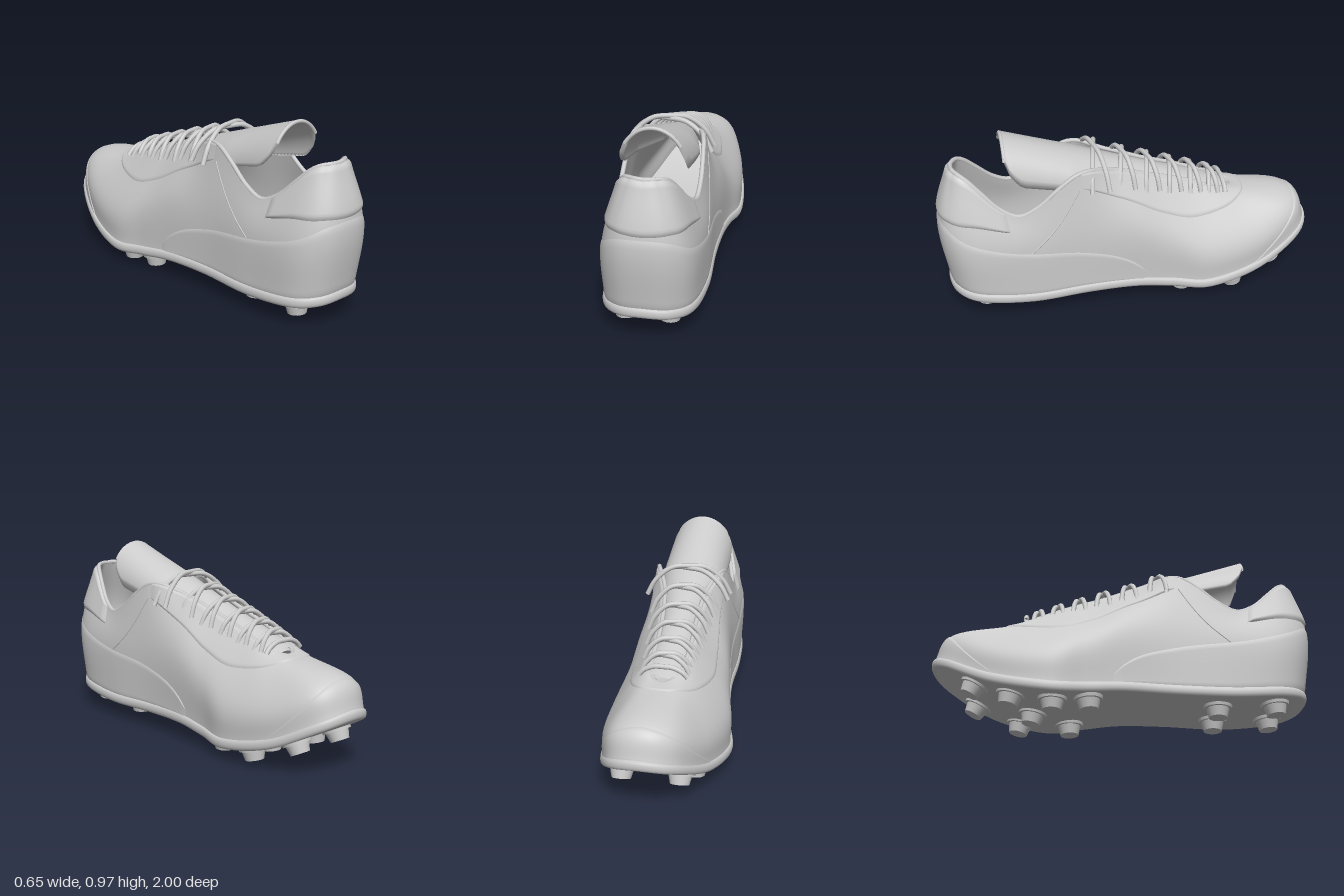
import * as THREE from 'three';

const V = (x, y, z) => new THREE.Vector3(x, y, z);
const mat = new THREE.MeshStandardMaterial({ color: 0xcccccc, side: THREE.DoubleSide });

// Straight ramp from a at z0 to b at z1, held beyond both ends
const ramp = (z, z0, z1, a, b) => a + (b - a) * THREE.MathUtils.clamp((z - z0) / (z1 - z0), 0, 1);

// Surface grid from f(s, t), s and t in 0..1; closed joins the two s ends
function grid(nu, nv, f, { closed = false, flip = false } = {}) {
  const pos = [], idx = [], cols = closed ? nu : nu + 1;
  for (let i = 0; i < cols; i++) for (let j = 0; j <= nv; j++) pos.push(...f(i / nu, j / nv).toArray());
  for (let i = 0; i < nu; i++) for (let j = 0; j < nv; j++) {
    const a = i * (nv + 1) + j, b = ((i + 1) % cols) * (nv + 1) + j;
    if (flip) idx.push(a, b + 1, b, a, a + 1, b + 1);
    else idx.push(a, b, b + 1, a, b + 1, a + 1);
  }
  const g = new THREE.BufferGeometry();
  g.setAttribute('position', new THREE.Float32BufferAttribute(pos, 3));
  g.setIndex(idx);
  g.computeVertexNormals();
  return g;
}

// Half outlines from heel to toe: sole edge, waist and opening (w is half width)
const TOE = 10, AROUND = 20;
const sole = {
  z: [.96, .93, .815, .55, .25, 0, -.2, -.4, -.68, -.92, -.985],
  w: [0, .13, .215, .24, .235, .25, .275, .312, .265, .16, 0],
  y: [.17, .16, .145, .125, .13, .13, .11, .1, .16, .28, .32],
};
const waist = {
  z: sole.z.map(z => z + ramp(z, .5, .95, .015, .04) + ramp(z, -.65, -.985, 0, .07)),
  w: sole.w.map((w, i) => w * ramp(sole.z[i], -.4, .1, .93, 1)),
  y: [.52, .51, .46, .42, .45, .46, .38, .31, .34, .44, .475],
};
const opening = {
  z: [.92, .905, .84, .6, .3, .1, -.1, -.28, -.43, -.53, -.56],
  w: [0, .06, .12, .2, .19, .125, .1, .095, .09, .05, 0],
  y: [.82, .82, .79, .6, .79, .76, .69, .63, .575, .54, .53],
};
const centreX = z => z < -.3 ? ramp(z, -1, -.3, .025, -.012) : ramp(z, -.3, .4, -.012, .02);
const rings = [sole, waist, opening].map(r => {
  const pts = Array.from({ length: AROUND }, (_, i) => {
    const k = i <= TOE ? i : AROUND - i, side = i <= TOE ? 1 : -1;
    return V(centreX(r.z[k]) + side * r.w[k], r.y[k], r.z[k]);
  });
  return new THREE.CatmullRomCurve3(pts, true, 'catmullrom', .5);
});

// Point on the upper: u is the station around, v runs 0 (sole) to 2 (opening)
function base(u, v) {
  const t = ((u + AROUND) % AROUND) / AROUND;
  return new THREE.CatmullRomCurve3(rings.map(c => c.getPoint(t)), false, 'catmullrom', .5).getPoint(v / 2);
}
function normal(u, v) {
  const e = .03;
  const du = base(u + e, v).sub(base(u - e, v));
  const dv = base(u, Math.min(2, v + e)).sub(base(u, Math.max(0, v - e)));
  return du.cross(dv).normalize();
}
const surf = (u, v, off = 0) => base(u, v).addScaledVector(normal(u, v), off);

// Raised panel on the upper, tucked under at its border
function panel(u0, u1, lo, hi, thick, nu = 90, nv = 20) {
  return grid(nu, nv, (s, t) => {
    const u = u0 + (u1 - u0) * s, v = lo(u) + (hi(u) - lo(u)) * t;
    const edge = Math.min(s * nu / 2, (1 - s) * nu / 2, t * nv / 1.5, (1 - t) * nv / 1.5, 1);
    return surf(u, v, -.004 + (thick + .004) * edge);
  });
}

const tube = (pts, r, n, closed = false) =>
  new THREE.TubeGeometry(new THREE.CatmullRomCurve3(pts, closed), n, r, 8, closed);

// Outline of the sole, moved outward and vertically
const soleEdge = (u, out, dy) =>
  base(u, 0).addScaledVector(normal(u, 0).setY(0).normalize(), out).add(V(0, dy, 0));

// Height of the sole edge at a given z
function soleY(z) {
  let i = 0;
  while (i < TOE - 1 && sole.z[i + 1] > z) i++;
  return ramp(z, sole.z[i], sole.z[i + 1], sole.y[i], sole.y[i + 1]);
}
const tongueTop = z => .97 - .35 * (.65 - z);

export function createModel() {
  const group = new THREE.Group();
  const add = (name, geo, parent = group) => {
    const m = new THREE.Mesh(geo, mat);
    m.name = name;
    parent.add(m);
    return m;
  };

  // Upper shell, lining and rolled opening edge
  add('upper', grid(120, 36, (s, t) => surf(s * AROUND, t * 2), { closed: true }));
  add('lining', grid(96, 20, (s, t) => surf(s * AROUND, t * 2, -.022), { closed: true, flip: true }));
  const lip = Array.from({ length: 60 }, (_, i) => surf(i / 3, 2, -.011));
  add('openingEdge', tube(lip, .012, 144, true));

  // Panels: heel counter, collar pad, lace panel, toe cap
  const fromToe = u => Math.abs(u - TOE);
  add('heelCounter', panel(-5.4, 5.4, () => 0,
    u => 1.16 * Math.pow(Math.max(0, 1 - (u / 5.4) ** 2), .6), .004));
  add('collarPad', panel(-2.8, 2.8, u => 1.15 + .04 * u * u, () => 2, .012));
  add('lacePanel', panel(4, 16, u => {
    const d = 4 - fromToe(u);
    return d < 0 ? 1.4 + .1 * d * d : 1.4 + .4 * THREE.MathUtils.smoothstep(d, 0, 4);
  }, () => 2, .006));
  add('toeCap', panel(7.8, 12.2, () => 0, u => 1.02 * Math.max(0, 1 - (fromToe(u) / 2.2) ** 2), .004));

  // Diagonal side seams
  for (const side of [1, -1]) {
    const seam = Array.from({ length: 9 }, (_, k) => surf(side * (3.05 + .12 * k), .9 + .11 * k, -.001));
    add('sideSeam', tube(seam, .004, 24));
  }

  // Sole rim, underside and insole
  add('soleRim', grid(120, 8, (s, t) => {
    const a = Math.PI * (t - .5);
    return soleEdge(s * AROUND, -.014 + .026 * Math.sqrt(Math.max(0, Math.cos(a))), -.008 + .028 * Math.sin(a));
  }, { closed: true }));
  const across = (edge, flip) =>
    grid(60, 8, (s, t) => edge(s * TOE).lerp(edge(AROUND - s * TOE), t), { flip });
  add('outsole', across(u => soleEdge(u, -.014, -.036), true));
  add('insole', across(u => soleEdge(u, 0, .01), false));

  // Studs on round pads, tilted with the sole
  const addStud = (x, z) => {
    const stud = new THREE.Group();
    stud.name = 'stud';
    add('studBody', new THREE.CylinderGeometry(.066, .048, .075, 24), stud).position.y = -.0225;
    add('studPad', new THREE.CylinderGeometry(.076, .072, .02, 24), stud).position.y = -.002;
    stud.position.set(x, soleY(z) - .04, z);
    stud.rotation.x = -Math.atan((soleY(z + .08) - soleY(z - .08)) / .16);
    group.add(stud);
  };
  for (const [z, dx] of [[.785, .11], [.49, .1], [-.755, .145]]) {
    for (const side of [1, -1]) addStud(.01 + side * dx, z);
  }
  const forefoot = [[.17, -.27], [-.2, -.18], [-.21, -.36], [.03, -.46], [.225, -.53], [-.175, -.57]];
  for (const [x, z] of forefoot) addStud(x, z);

  // Arched tongue with rounded rear corners; the section loops over its outer and inner faces
  add('tongue', grid(64, 48, (s, t) => {
    const z = .65 - 1.18 * t, w = ramp(z, -.1, .3, .105, .172), drop = ramp(z, -.5, .65, .05, .2);
    const limit = Math.PI / 2 * Math.min(1, .6 + 1.5 * Math.sqrt(t));
    const outer = s < .5, a = limit * (outer ? 4 * s - 1 : 3 - 4 * s), d = outer ? 0 : .018;
    return V(centreX(z) * .5 + (w - d) * Math.sin(a), tongueTop(z) - d - drop * (1 - Math.cos(a)), z);
  }, { closed: true }));
  add('tongueEdge', tube(Array.from({ length: 15 }, (_, i) => {
    const a = Math.PI * .3 * (i / 7 - 1);
    return V(.01 + .163 * Math.sin(a), .961 - .2 * (1 - Math.cos(a)), .648);
  }), .01, 40));

  // Crossed laces and the straight front lace
  const lace = (w, z, dz, lift, fall) => {
    const pts = [-1, -.8, -.4, 0, .4, .8, 1].map(k =>
      V(centreX(z) * .5 + k * w, tongueTop(z) + lift - fall * Math.pow(Math.abs(k), 3.2), z + k * dz));
    add('lace', tube(pts, .013, 40));
  };
  for (let i = 0; i < 6; i++) {
    const z = .18 - .155 * i + .006 * i * i, w = (i ? .18 : .22) - .012 * i;
    const dz = .045 - .004 * i, fall = .15 - .014 * i;
    lace(w, z, dz, .032, fall);
    lace(w, z, -dz, .045, fall + .013);
  }
  lace(.12, -.51, 0, .025, .05);

  return group;
}
